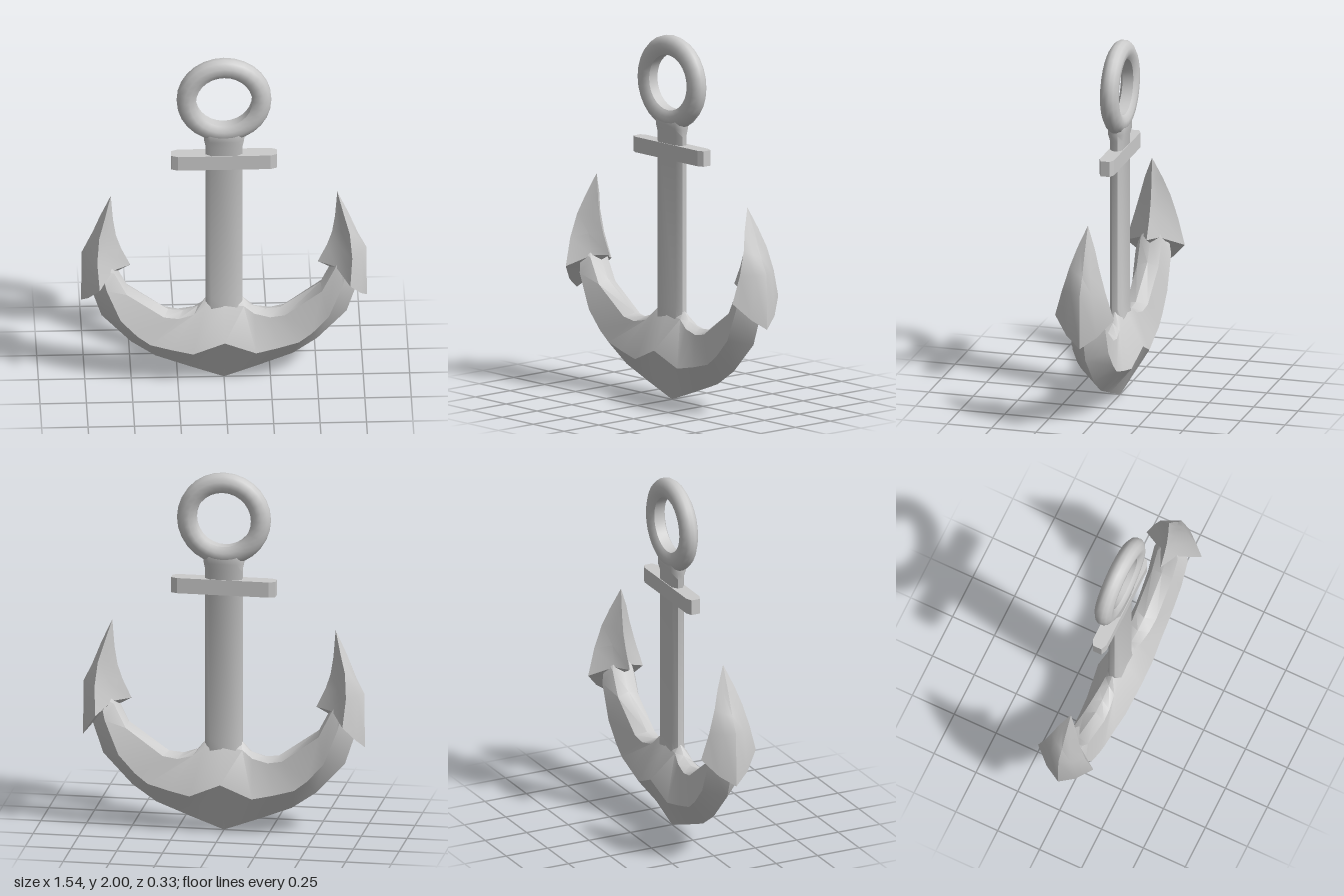
import * as THREE from 'three';
import { toCreasedNormals } from 'three/addons/utils/BufferGeometryUtils.js';

const material = new THREE.MeshStandardMaterial({ color: 0xcccccc });

function part(name, geometry, crease) {
  const mesh = new THREE.Mesh(toCreasedNormals(geometry, crease), material);
  mesh.name = name;
  return mesh;
}

// Skin closed cross-sections (arrays of [x, y, z]) and cap both ends
function loft(rings) {
  const n = rings[0].length;
  const positions = rings.flat(2);
  const index = [];
  for (let r = 0; r < rings.length - 1; r++) {
    for (let i = 0; i < n; i++) {
      const j = (i + 1) % n;
      const a = r * n + i, b = r * n + j, c = a + n, d = b + n;
      index.push(a, c, d, a, d, b);
    }
  }
  [0, rings.length - 1].forEach((r, end) => {
    const centre = positions.length / 3;
    for (let k = 0; k < 3; k++) positions.push(rings[r].reduce((s, p) => s + p[k], 0) / n);
    for (let i = 0; i < n; i++) {
      const a = r * n + i, b = r * n + (i + 1) % n;
      index.push(centre, ...(end ? [b, a] : [a, b]));
    }
  });
  const geometry = new THREE.BufferGeometry();
  geometry.setAttribute('position', new THREE.Float32BufferAttribute(positions, 3));
  geometry.setIndex(index);
  return geometry;
}

// Half a section from outer ridge to inner ridge, mirrored in z
function mirrorZ(half) {
  const back = half.slice(1, -1).reverse().map(([x, y, z]) => [x, y, -z]);
  return [...half, ...back];
}

function createRing() {
  const half = [[0.255, 0.012], [0.243, 0.032], [0.215, 0.049], [0.185, 0.049], [0.16, 0.036], [0.152, 0.03]];
  const lower = half.map(([r, z]) => [r, -z]).reverse();
  const profile = [...half, ...lower, half[0]].map(([r, z]) => new THREE.Vector2(r, z));
  const geometry = new THREE.LatheGeometry(profile, 28);
  geometry.rotateX(Math.PI / 2).translate(0, 1.745, 0);
  return part('ring', geometry, 0.75);
}

function createShank() {
  // Height, half width, half depth
  const levels = [[0.4, 0.1, 0.045], [0.52, 0.1, 0.036], [1.46, 0.1, 0.036], [1.5, 0.108, 0.046], [1.54, 0.11, 0.046]];
  const rings = levels.map(([y, w, d]) => [
    [w, y, -d * 0.4], [w, y, d * 0.4], [w * 0.7, y, d], [-w * 0.7, y, d],
    [-w, y, d * 0.4], [-w, y, -d * 0.4], [-w * 0.7, y, -d], [w * 0.7, y, -d],
  ]);
  return part('shank', loft(rings), 0.9);
}

function createCrossbar() {
  const shape = new THREE.Shape();
  [[0.285, 0.025], [0.25, 0.04], [-0.25, 0.04], [-0.285, 0.025],
    [-0.285, -0.025], [-0.25, -0.04], [0.25, -0.04], [0.285, -0.025]]
    .forEach(([x, y], i) => (i ? shape.lineTo(x, y) : shape.moveTo(x, y)));
  const geometry = new THREE.ExtrudeGeometry(shape, { depth: 0.085, bevelEnabled: false });
  geometry.rotateX(-Math.PI / 2).translate(0, 1.325, 0);
  return part('crossbar', geometry, 0.2);
}

function createArms() {
  // Outer ridge x y, widest line x y z, inner shoulder z, inner ridge x y
  const stations = [
    [0, 0, 0, 0.285, 0.13, 0.036, 0, 0.51],
    [0.19, 0.07, 0.17, 0.21, 0.115, 0.036, 0.095, 0.505],
    [0.28, 0.105, 0.29, 0.235, 0.105, 0.045, 0.14, 0.45],
    [0.37, 0.14, 0.4, 0.265, 0.1, 0.055, 0.22, 0.423],
    [0.5, 0.23, 0.47, 0.32, 0.1, 0.06, 0.3, 0.43],
    [0.66, 0.4, 0.56, 0.42, 0.1, 0.06, 0.52, 0.585],
    [0.72, 0.58, 0.635, 0.61, 0.1, 0.06, 0.585, 0.71],
    [0.72, 0.72, 0.665, 0.73, 0.07, 0.03, 0.62, 0.76],
  ];
  const section = (side) => ([ox, oy, mx, my, mz, sz, ix, iy]) => mirrorZ([
    [side * ox, oy, 0],
    [side * mx, my, mz],
    [side * (mx + (ix - mx) * 0.85), my + (iy - my) * 0.85, sz],
    [side * ix, iy, 0],
  ]);
  const right = stations.slice(1).reverse().map(section(-1));
  return part('arms', loft([...right, ...stations.map(section(1))]), 0.75);
}

function createFluke(name, angle) {
  // Outer ridge, wing edge, hollow, inner ridge; from base to tip
  const rings = [
    [[0.77, 0.5, 0], [0.735, 0.56, 0.085], [0.675, 0.65, 0.165], [0.6, 0.705, 0.045], [0.505, 0.715, 0]],
    [[0.767, 0.8, 0], [0.74, 0.8, 0.06], [0.687, 0.8, 0.122], [0.63, 0.82, 0.04], [0.555, 0.82, 0]],
    [[0.722, 0.89, 0], [0.705, 0.905, 0.04], [0.675, 0.93, 0.083], [0.63, 0.92, 0.03], [0.582, 0.9, 0]],
    [[0.67, 1.02, 0], [0.66, 1.02, 0.026], [0.645, 1.03, 0.05], [0.62, 1.02, 0.015], [0.598, 1.0, 0]],
    Array(5).fill([0.61, 1.15, 0]),
  ].map(mirrorZ);
  const fluke = part(name, loft(rings), 0.5);
  fluke.rotation.y = angle;
  return fluke;
}

export function createModel() {
  const model = new THREE.Group();
  model.name = 'anchor';
  model.add(
    createRing(), createShank(), createCrossbar(), createArms(),
    createFluke('leftFluke', 0), createFluke('rightFluke', Math.PI),
  );
  return model;
}
